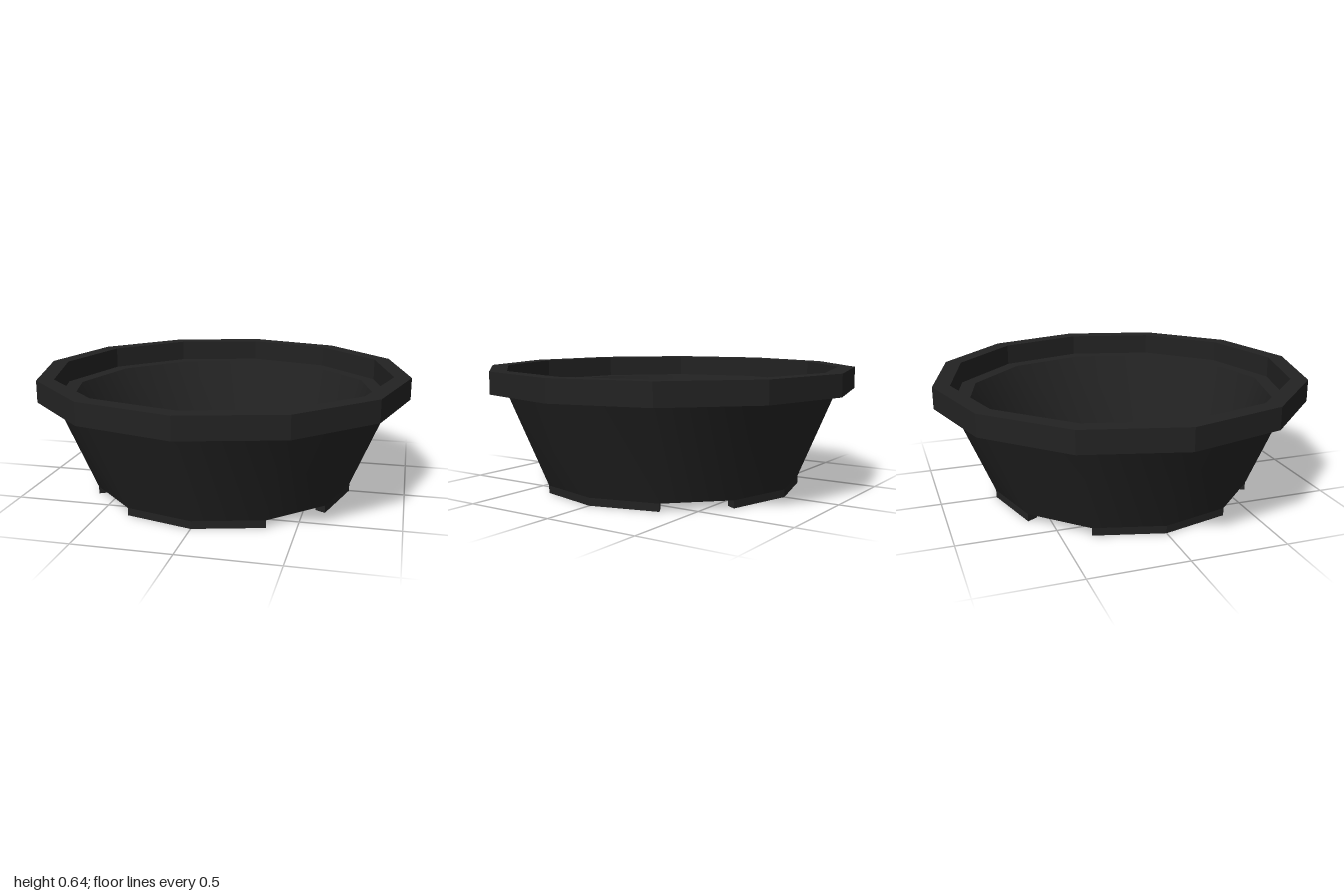
import * as THREE from 'three';
import { toCreasedNormals } from 'three/addons/utils/BufferGeometryUtils.js';

const SIDES = 12;

// Twelve-sided turned part; rim facets stay flat, the sloped walls blend smoothly
function turned(name, profile, material) {
  const points = profile.map(([r, y]) => new THREE.Vector2(r, y));
  const geometry = toCreasedNormals(new THREE.LatheGeometry(points, SIDES), 0.5);
  const mesh = new THREE.Mesh(geometry, material);
  mesh.name = name;
  return mesh;
}

export function createModel() {
  const model = new THREE.Group();
  model.name = 'plantPot';
  const material = new THREE.MeshStandardMaterial({ color: 0x222222 });

  // Tapered bowl: underside, outer wall, inner ledge, inner wall, floor
  model.add(turned('bowl', [
    [0, 0.04], [0.705, 0.04], [0.91, 0.53], [0.83, 0.53], [0.638, 0.075], [0, 0.075],
  ], material));

  // Heavy rim standing on the bowl's upper edge
  model.add(turned('rim', [
    [0.91, 0.53], [1, 0.53], [1, 0.645], [0.91, 0.645], [0.91, 0.53],
  ], material));

  // Four feet, each following two sides of the base, with drainage gaps between
  const arc = (r, steps) => steps.map((s) => {
    const a = (s * Math.PI * 2) / SIDES;
    return new THREE.Vector2(r * Math.cos(a), r * Math.sin(a));
  });
  const outline = new THREE.Shape([...arc(0.705, [-1, 0, 1]), ...arc(0.645, [1, 0, -1])]);
  const footGeometry = new THREE.ExtrudeGeometry(outline, { depth: 0.04, bevelEnabled: false });
  footGeometry.rotateX(-Math.PI / 2);
  for (let i = 0; i < 4; i++) {
    const foot = new THREE.Mesh(footGeometry, material);
    foot.name = `foot${i + 1}`;
    foot.rotation.y = (i * Math.PI) / 2;
    model.add(foot);
  }
  return model;
}
